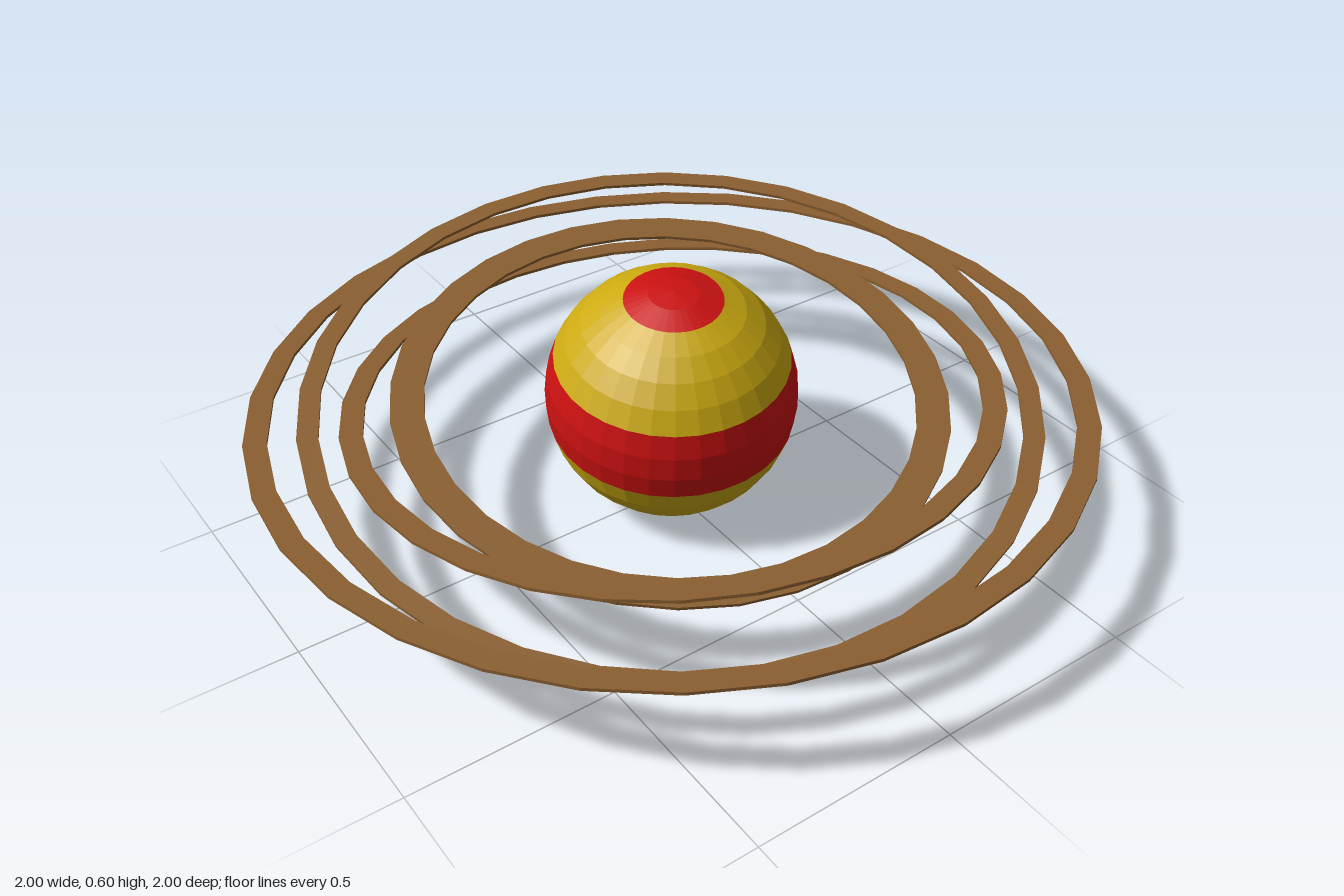
import * as THREE from 'three';

const RADIUS = 0.302;
const ROWS = 16;
const SIDES = 32;

const material = (color) => new THREE.MeshStandardMaterial({ color, flatShading: true });

// Tilts a part so that its equator lies on the plane y = slopeX * x + slopeZ * z
function tilt(object, slopeX, slopeZ) {
  const normal = new THREE.Vector3(-slopeX, 1, -slopeZ).normalize();
  object.quaternion.setFromUnitVectors(new THREE.Vector3(0, 1, 0), normal);
  object.position.y = RADIUS;
  return object;
}

// Flat ring with a thin rectangular section
function makeRing(name, inner, outer, slopeX, slopeZ, mat) {
  const h = 0.004;
  const profile = [[inner, -h], [outer, -h], [outer, h], [inner, h], [inner, -h]]
    .map(([x, y]) => new THREE.Vector2(x, y));
  const ring = new THREE.Mesh(new THREE.LatheGeometry(profile, SIDES), mat);
  ring.name = name;
  return tilt(ring, slopeX, slopeZ);
}

export function createModel() {
  const model = new THREE.Group();
  model.name = 'ringedPlanet';
  const red = material(0xcc1111);
  const yellow = material(0xccaa11);
  const brown = material(0x8b5f30);

  // Planet: bands of sphere rows from the north cap to the south cap
  const planet = new THREE.Group();
  planet.name = 'planet';
  const bands = [
    ['northCap', 0, 2, red],
    ['northBand', 2, 6, yellow],
    ['equatorBand', 6, 9, red],
    ['southBand', 9, 14, yellow],
    ['southCap', 14, 16, red],
  ];
  for (const [name, from, to, mat] of bands) {
    const row = Math.PI / ROWS;
    const band = new THREE.Mesh(
      new THREE.SphereGeometry(RADIUS, SIDES, to - from, 0, Math.PI * 2, from * row, (to - from) * row), mat);
    band.name = name;
    planet.add(band);
  }
  model.add(tilt(planet, 0.07, -0.13));

  // Four separate rings, each with its own tilt
  model.add(
    makeRing('innerRing', 0.585, 0.665, 0.05, -0.15, brown),
    makeRing('secondRing', 0.73, 0.785, 0.005, 0.057, brown),
    makeRing('thirdRing', 0.83, 0.88, 0.07, -0.13, brown),
    makeRing('outerRing', 0.945, 1.0, 0.0075, 0.0075, brown),
  );
  return model;
}
